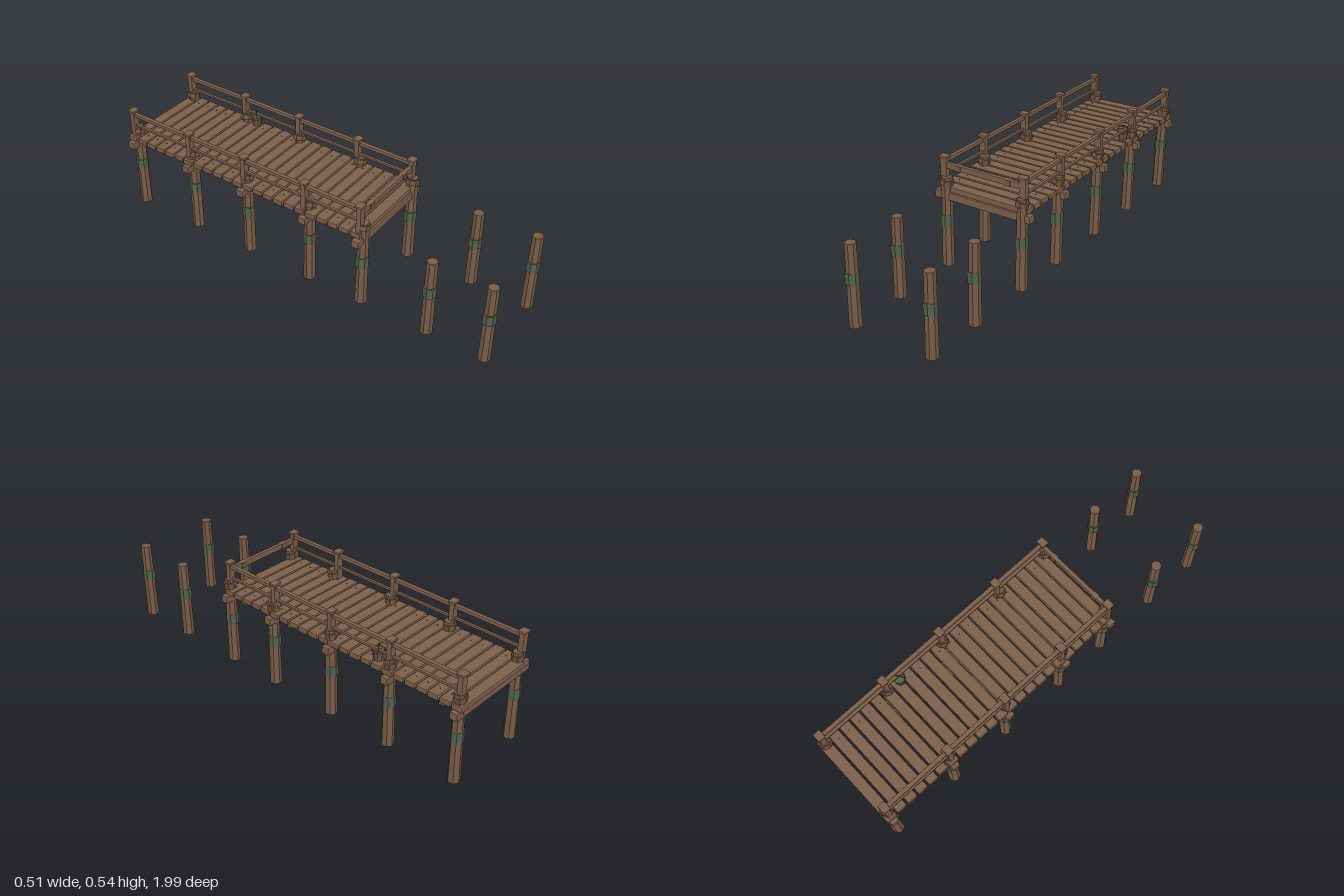
import * as THREE from 'three';
import { RoundedBoxGeometry } from 'three/addons/geometries/RoundedBoxGeometry.js';

const mat = (name, color, side = THREE.FrontSide) =>
  new THREE.MeshStandardMaterial({ name, color, side, flatShading: true });

export function createModel() {
  const root = new THREE.Group();
  root.name = 'pier';
  const wood = mat('wood', 0x7d604b);
  const pileWood = mat('pileWood', 0x785c47);
  const rope = mat('rope', 0x74583f);
  const moss = mat('moss', 0x53624b);
  const iron = mat('iron', 0x4a4038);
  const bucketWood = mat('bucketWood', 0x75604a, THREE.DoubleSide);

  let seed = 7;
  const jitter = (a) => {
    seed = (seed * 16807) % 2147483647;
    return (seed / 2147483647 - 0.5) * 2 * a;
  };

  const add = (parent, name, geometry, material, x, y, z) => {
    const m = new THREE.Mesh(geometry, material);
    m.name = name;
    m.position.set(x, y, z);
    parent.add(m);
    return m;
  };
  // Timber with chamfered edges
  const timber = (parent, name, w, h, d, x, y, z, bevel = 0.004) =>
    add(parent, name, new RoundedBoxGeometry(w, h, d, 1, bevel), wood, x, y, z);

  // Leaning log with a moss band; tall ones get a tilted rope wrap at the top
  const pile = (x, z, h, wrapped) => {
    const g = new THREE.Group();
    g.name = 'pile';
    g.position.set(x, 0, z);
    root.add(g);
    const log = new THREE.CylinderGeometry(0.025, 0.0285, h, 7);
    log.rotateY(0.3);
    log.translate(0, h / 2, 0);
    const p = log.attributes.position;
    for (let i = 0; i < p.count; i++) p.setX(i, p.getX(i) + p.getY(i) * 0.018);
    add(g, 'log', log, pileWood, 0, 0, 0);
    add(g, 'mossBand', new THREE.CylinderGeometry(0.03, 0.03, 0.053, 7), moss, 0.002, 0.231, 0).rotation.y = 0.3;
    if (wrapped) {
      const w = add(g, 'ropeWrap', new THREE.CylinderGeometry(0.031, 0.031, 0.024, 7), rope, 0.006, 0.419, 0);
      w.rotation.set(0.08, 0.3, -0.25);
    }
  };

  const rows = [0.345, 0.062, -0.287, -0.613, -0.962];
  const posts = [0.336, 0.046, -0.29, -0.616, -0.967];
  for (const s of [-1, 1]) {
    pile(s * 0.2, 0.967, 0.393, false);
    pile(s * 0.2, 0.685, 0.39, false);
    rows.forEach((z) => pile(s * 0.2, z, 0.44, true));
  }

  // Crossbeams under the deck
  rows.forEach((z) => timber(root, 'crossbeam', 0.506, 0.036, 0.038, 0, 0.351, z - 0.006));

  // Deck planks with nails near both ends
  const count = 23;
  const pitch = 1.352 / count;
  const nailGeo = new THREE.CylinderGeometry(0.003, 0.003, 0.003, 6);
  for (let i = 0; i < count; i++) {
    const z = 0.354 - pitch * (i + 0.5);
    timber(root, 'plank', 0.47 + jitter(0.004), 0.027, pitch - 0.007, jitter(0.002), 0.3825 + jitter(0.001), z, 0.005);
    for (const s of [-1, 1]) add(root, 'nail', nailGeo, iron, s * 0.185, 0.3965, z);
  }

  // Railings: posts, caps and two rails on each side
  for (const s of [-1, 1]) {
    const x = s * 0.208;
    posts.forEach((z) => {
      timber(root, 'railPost', 0.034, 0.162, 0.026, x, 0.447, z);
      timber(root, 'postCap', 0.044, 0.011, 0.036, x, 0.531, z, 0.003);
    });
    for (let i = 0; i < posts.length - 1; i++) {
      const len = posts[i] - posts[i + 1];
      const mid = (posts[i] + posts[i + 1]) / 2;
      timber(root, 'topRail', 0.02, 0.018, len, x, 0.511, mid, 0.003);
      timber(root, 'lowerRail', 0.014, 0.011, len, x, 0.452, mid, 0.002);
    }
  }

  // Gate bar across the front, with two bindings
  timber(root, 'frontRail', 0.4, 0.028, 0.02, 0, 0.492, 0.336, 0.004);
  for (const s of [-1, 1])
    add(root, 'railBinding', new THREE.BoxGeometry(0.03, 0.027, 0.026), rope, s * 0.13, 0.4915, 0.336);

  // Bucket standing beside the railing
  const bucket = new THREE.Group();
  bucket.name = 'bucket';
  bucket.position.set(0.197, 0.396, -0.543);
  root.add(bucket);
  const profile = [[0, 0.002], [0.02, 0.002], [0.03, 0.052], [0.026, 0.052], [0.019, 0.012], [0, 0.012]];
  add(bucket, 'pail', new THREE.LatheGeometry(profile.map(([x, y]) => new THREE.Vector2(x, y)), 9), bucketWood, 0, 0, 0);
  add(bucket, 'hoop', new THREE.CylinderGeometry(0.0295, 0.0278, 0.007, 9, 1, true), iron, 0, 0.042, 0);
  add(bucket, 'mossyWater', new THREE.CircleGeometry(0.024, 9), moss, 0, 0.036, 0).rotation.x = -Math.PI / 2;
  add(bucket, 'handle', new THREE.TorusGeometry(0.027, 0.002, 4, 10, Math.PI), iron, 0, 0.05, 0).rotation.y = 0.6;

  return root;
}
